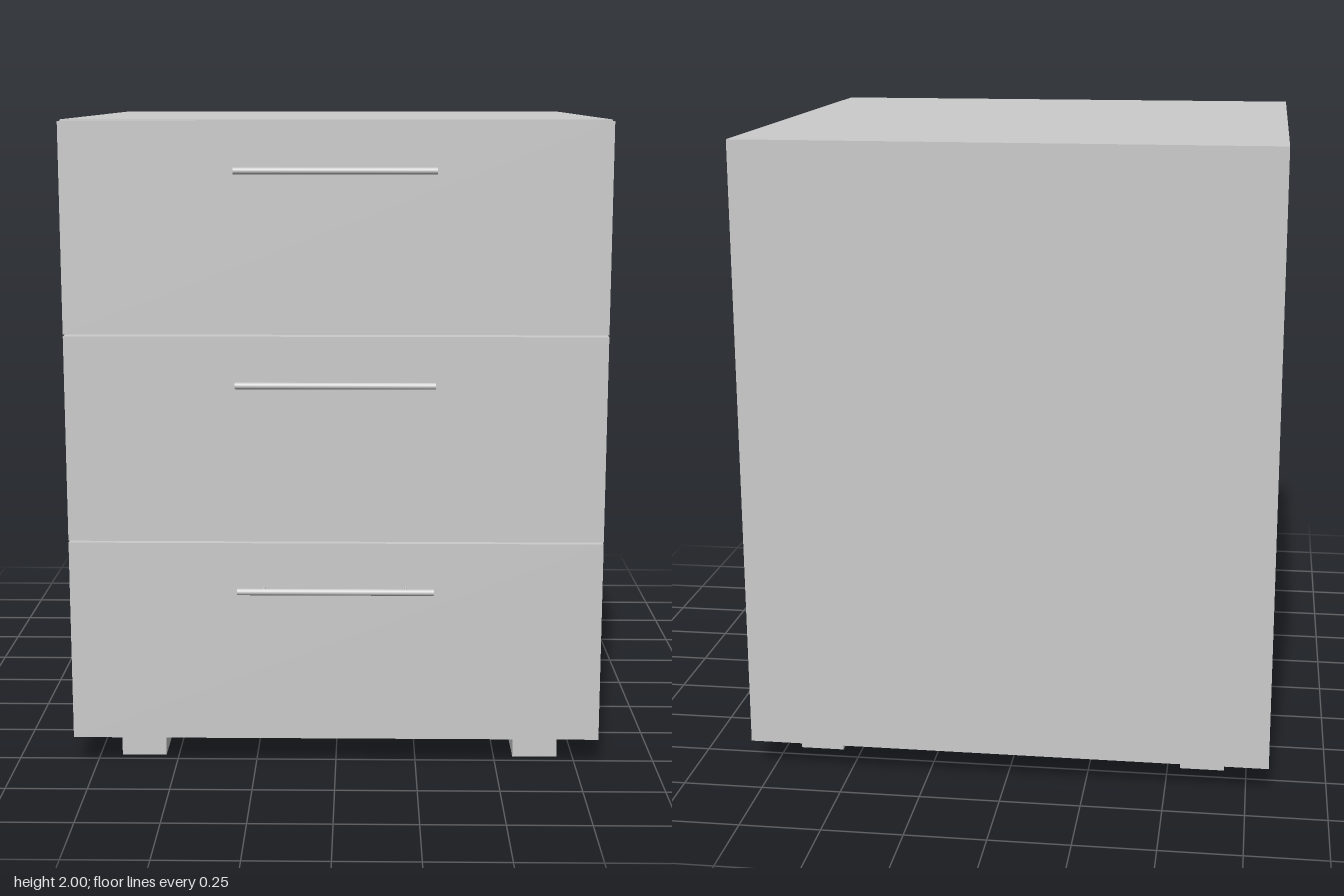
import * as THREE from 'three';

export function createModel() {
  const model = new THREE.Group();
  const material = new THREE.MeshStandardMaterial({ color: 0xcccccc });

  function add(parent, name, geometry, x, y, z) {
    const mesh = new THREE.Mesh(geometry, material);
    mesh.name = name;
    mesh.position.set(x, y, z);
    parent.add(mesh);
    return mesh;
  }

  // Box given by its lower and upper bounds
  function addBox(parent, name, [x0, x1], [y0, y1], [z0, z1]) {
    const geometry = new THREE.BoxGeometry(x1 - x0, y1 - y0, z1 - z0);
    return add(parent, name, geometry, (x0 + x1) / 2, (y0 + y1) / 2, (z0 + z1) / 2);
  }

  // Cabinet body behind the drawer fronts
  addBox(model, 'cabinetBody', [-0.82, 0.82], [0.09, 2], [-0.86, 0.755]);

  // Three drawers: front panel, bar handle and its two posts
  const barGeometry = new THREE.CylinderGeometry(0.01, 0.01, 0.6, 24).rotateZ(Math.PI / 2);
  const postGeometry = new THREE.CylinderGeometry(0.004, 0.004, 0.05, 16).rotateX(Math.PI / 2);
  const drawers = [
    { bottom: 0.09, top: 0.718, handleY: 0.577 },
    { bottom: 0.724, top: 1.357, handleY: 1.215 },
    { bottom: 1.363, top: 1.996, handleY: 1.853 },
  ];
  for (const { bottom, top, handleY } of drawers) {
    const drawer = new THREE.Group();
    drawer.name = 'drawer';
    addBox(drawer, 'drawerFront', [-0.82, 0.82], [bottom, top], [0.755, 0.803]);
    add(drawer, 'handleBar', barGeometry, 0, handleY, 0.85);
    for (const x of [-0.22, 0.215]) add(drawer, 'handlePost', postGeometry, x, handleY, 0.825);
    model.add(drawer);
  }

  // Four square feet
  for (const x of [-0.68, 0.56]) {
    for (const z of [-0.7, 0.577]) {
      addBox(model, 'foot', [x, x + 0.14], [0, 0.09], [z, z + 0.14]);
    }
  }

  return model;
}
